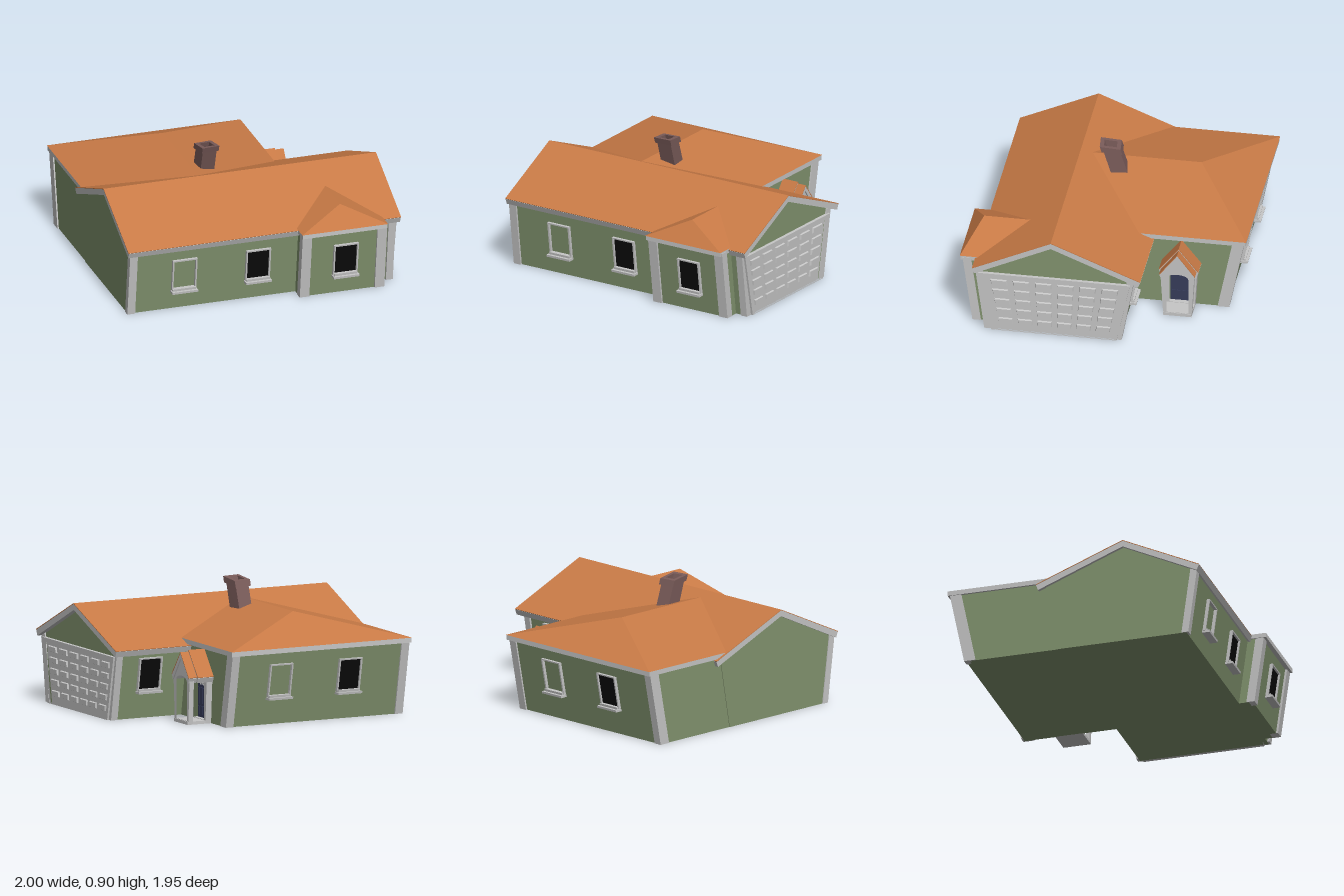
import * as THREE from 'three';

const paint = (name, color) => {
  const m = new THREE.MeshStandardMaterial({ color });
  m.name = name;
  return m;
};

export function createModel() {
  const house = new THREE.Group();
  house.name = 'house';
  const wall = paint('wall green', 0x82946f);
  const trim = paint('trim white', 0xc6c6c6);
  const tile = paint('roof orange', 0xc87a46);
  const brick = paint('chimney brown', 0x7a5c5a);
  const glass = paint('window black', 0x0a0a0a);
  const navy = paint('door navy', 0x363c5a);

  // Adds a flat-faced mesh; the optional rule moves its vertices first
  function add(name, geo, mat, rule, parent = house) {
    const g = geo.index ? geo.toNonIndexed() : geo;
    const p = g.attributes.position;
    const v = new THREE.Vector3();
    if (rule) {
      for (let i = 0; i < p.count; i++) {
        rule(v.fromBufferAttribute(p, i));
        p.setXYZ(i, v.x, v.y, v.z);
      }
    }
    g.computeVertexNormals();
    const mesh = new THREE.Mesh(g, mat);
    mesh.name = name;
    parent.add(mesh);
    return mesh;
  }
  function group(name) {
    const g = new THREE.Group();
    g.name = name;
    house.add(g);
    return g;
  }
  // Box given by its limits on each axis
  const block = (x0, x1, y0, y1, z0, z1) =>
    new THREE.BoxGeometry(x1 - x0, y1 - y0, z1 - z0)
      .translate((x0 + x1) / 2, (y0 + y1) / 2, (z0 + z1) / 2);
  const outline = (pts) => pts.map(([a, b]) => new THREE.Vector2(a, b));
  // Extrudes a [z, y] profile from x0 to x1
  function alongX(pts, x0, x1, hole) {
    const flip = (q) => outline(q.map(([z, y]) => [-z, y]));
    const s = new THREE.Shape(flip(pts));
    if (hole) s.holes.push(new THREE.Path(flip(hole)));
    return new THREE.ExtrudeGeometry(s, { depth: x1 - x0, bevelEnabled: false })
      .rotateY(Math.PI / 2).translate(x0, 0, 0);
  }
  // Gable roof band: front eave, ridge and back eave as [z, y]
  const chevron = ([a, b, c], t, drop, x0, x1) => alongX([
    [a[0], a[1] - drop], [b[0], b[1] - drop], [c[0], c[1] - drop],
    [c[0] + 0.4 * t, c[1] - drop - t], [b[0], b[1] - drop - t * 1.1],
    [a[0] - 0.4 * t, a[1] - drop - t]], x0, x1);
  // Hipped roof with one sloping end; the other end runs into another roof
  function hip(x0, x1, zEnd, zOpen, yEave, zPeak, zTie, yRidge) {
    const xm = (x0 + x1) / 2;
    const P = [[x0, yEave, zEnd], [x1, yEave, zEnd], [x1, yEave, zOpen], [x0, yEave, zOpen],
      [xm, yRidge, zPeak], [xm, yRidge, zTie]].map((q) => new THREE.Vector3(...q));
    const out = [];
    for (const f of [[0, 1, 4], [1, 2, 5], [1, 5, 4], [0, 4, 5], [0, 5, 3]]) {
      const [a, b, c] = f.map((i) => P[i]);
      const up = b.clone().sub(a).cross(c.clone().sub(a)).y > 0;
      out.push(...(up ? [a, b, c] : [a, c, b]));
    }
    return new THREE.BufferGeometry().setFromPoints(out);
  }

  // Outward-leaning walls
  add('mainWalls', alongX([[0.765, 0], [0.831, 0.49], [0.305, 0.725], [-0.263, 0.49], [-0.175, 0]], -0.975, 0.955), wall);
  add('wingWalls', alongX([[0.2, 0], [0.2, 0.53], [-0.951, 0.53], [-0.845, 0]], -0.97, 0.405), wall);
  add('bayWalls', alongX([[0.7, 0], [0.7, 0.5], [0.935, 0.5], [0.865, 0]], 0.255, 0.865), wall);

  // Corner boards follow the lean of their wall
  const leanBy = (k) => (v) => { v.z += k * v.y; };
  for (const [x0, x1, z0, z1, k, h] of [
    [-0.982, -0.925, 0.73, 0.78, 0.135, 0.49], [0.915, 0.966, 0.73, 0.78, 0.135, 0.49],
    [0.915, 0.966, -0.19, -0.14, -0.18, 0.49],
    [0.25, 0.32, 0.82, 0.88, 0.14, 0.5], [0.8, 0.87, 0.82, 0.88, 0.14, 0.5],
    [-0.98, -0.92, -0.857, -0.775, -0.2, 0.53], [0.355, 0.415, -0.857, -0.775, -0.2, 0.53],
  ]) add('cornerBoard', block(x0, x1, 0, h, z0, z1), trim, leanBy(k));

  // Roofs with white eaves
  const gable = [[0.862, 0.503], [0.305, 0.762], [-0.328, 0.508]];
  add('mainEaves', chevron(gable, 0.04, 0.004, -0.997, 0.997), trim);
  add('mainRoof', chevron(gable, 0.004, 0, -1, 1), tile);
  add('wingEaves', block(-0.986, 0.427, 0.515, 0.549, -0.975, -0.22), trim);
  add('wingRoof', hip(-0.99, 0.43, -0.98, -0.2, 0.55, -0.545, 0.25, 0.73), tile);
  add('bayEaves', block(0.244, 0.866, 0.48, 0.511, 0.72, 0.965), trim);
  add('bayRoof', hip(0.24, 0.87, 0.97, 0.82, 0.512, 0.85, 0.5, 0.66), tile);

  // Windows: s is +1 on front walls and -1 on back walls
  function windowUnit(x, y, z0, k, s, glazed) {
    const g = group('window');
    const place = (v) => {
      v.y += y;
      v.x = x + s * v.x;
      v.z = s * (v.z + z0 + k * v.y);
    };
    const rect = (w, a, b) => outline([[-w, a], [w, a], [w, b], [-w, b]]);
    const frame = new THREE.Shape(rect(0.09, 0.02, 0.255));
    frame.holes.push(new THREE.Path(rect(0.079, 0.03, 0.245)));
    add('windowFrame', new THREE.ExtrudeGeometry(frame, { depth: 0.022, bevelEnabled: false }), trim, place, g);
    add('windowSill', block(-0.094, 0.094, 0, 0.016, -0.01, 0.055), trim, place, g);
    add('windowLedge', block(-0.085, 0.085, 0.016, 0.032, -0.01, 0.035), trim, place, g);
    if (glazed) add('windowGlass', block(-0.08, 0.08, 0.03, 0.246, 0, 0.008), glass, place, g);
  }
  windowUnit(-0.575, 0.13, 0.765, 0.135, 1, false);
  windowUnit(-0.035, 0.13, 0.765, 0.135, 1, true);
  windowUnit(0.575, 0.13, 0.865, 0.14, 1, true);
  windowUnit(0.02, 0.18, 0.845, 0.2, -1, false);
  windowUnit(-0.525, 0.18, 0.845, 0.2, -1, true);
  windowUnit(0.69, 0.18, 0.175, 0.18, -1, true);

  // Garage door, wider towards the top
  const garage = group('garageDoor');
  const flare = (v) => { v.z = 0.285 + v.z * (1 + 0.466 * v.y); };
  const arch = (w, h) => [[-w, 0], [w, 0], [w, h], [-w, h]];
  const opening = (w, h) => [[-w, 0.004], [w, 0.004], [w, h], [-w, h]];
  add('garageOuterFrame', alongX(arch(0.442, 0.455), 0.95, 0.98, opening(0.425, 0.438)), trim, flare, garage);
  add('garageInnerFrame', alongX(arch(0.428, 0.44), 0.95, 0.971, opening(0.405, 0.418)), trim, flare, garage);
  add('garageLeaf', block(0.95, 0.961, 0, 0.42, -0.408, 0.408), trim, flare, garage);
  for (let r = 0; r < 5; r++) {
    for (let c = 0; c < 6; c++) {
      add('garagePanel', new THREE.BoxGeometry(0.02, 0.048, 0.104), trim, (v) => {
        if (v.x > 0) { v.y *= 0.68; v.z *= 0.86; }
        v.x += 0.963;
        v.y += 0.075 + r * 0.077;
        v.z += (c - 2.5) * 0.133;
        flare(v);
      }, garage);
    }
  }

  // Entrance porch on the wing
  const porch = group('porch');
  const toDoor = (v) => { v.z -= 0.52; };
  const arched = (w, y0, y1, rise) => {
    const pts = [[-w, y0], [w, y0]];
    for (let i = 0; i <= 8; i++) {
      const a = Math.PI * i / 8;
      pts.push([w * Math.cos(a), y1 + rise * Math.sin(a)]);
    }
    return pts;
  };
  const portal = (w) => [[-0.1, 0], [0.1, 0], [0.12, 0.33], [w, 0.33], [0, 0.495], [-w, 0.33], [-0.12, 0.33]];
  for (const [x0, x1, w] of [[0.4, 0.45, 0.125], [0.55, 0.585, 0.115]]) {
    add('porchPortal', alongX(portal(w), x0, x1, arched(0.078, 0.025, 0.3, 0.035)), trim, toDoor, porch);
  }
  add('porchStep', block(0.4, 0.59, 0, 0.022, -0.1, 0.1), trim, toDoor, porch);
  for (const [x0, x1, w, h] of [[0.38, 0.53, 0.14, 0.512], [0.53, 0.595, 0.127, 0.5]]) {
    const line = [[w, 0.335], [0, h], [-w, 0.335]];
    add('porchGable', chevron(line, 0.035, 0.005, x0, x1 - 0.001), trim, toDoor, porch);
    add('porchRoof', chevron(line, 0.006, 0, x0, x1), tile, toDoor, porch);
  }
  add('frontDoor', alongX(arched(0.078, 0.025, 0.3, 0.035), 0.4, 0.415), navy, toDoor, porch);
  for (let i = 0; i < 4; i++) {
    const z = (i - 1.5) * 0.036;
    add('doorPanel', block(0.41, 0.422, 0.12, 0.235, z - 0.012, z + 0.012), navy, toDoor, porch);
    add('doorPanel', block(0.41, 0.422, 0.045, 0.105, z - 0.012, z + 0.012), navy, toDoor, porch);
    add('doorGrille', block(0.41, 0.419, 0.255, 0.283, z * 0.65 - 0.004, z * 0.65 + 0.004), trim, toDoor, porch);
  }
  add('doorGrille', block(0.41, 0.419, 0.265, 0.272, -0.048, 0.048), trim, toDoor, porch);

  // Crooked open chimney
  function flue(name, w, d, y0, y1) {
    const rect = (a, b) => outline([[-a, -b], [a, -b], [a, b], [-a, b]]);
    const s = new THREE.Shape(rect(w, d));
    s.holes.push(new THREE.Path(rect(0.038, 0.045)));
    const g = new THREE.ExtrudeGeometry(s, { depth: y1 - y0, bevelEnabled: false })
      .rotateX(-Math.PI / 2).rotateY(0.1);
    add(name, g, brick, (v) => {
      const z = v.z;
      v.y += y0;
      v.z += 0.015 + 0.32 * (v.y - 0.69);
      if (v.y > 0.75) v.y += 0.12 * z;
      v.x -= 0.167;
    });
  }
  flue('chimneyStack', 0.053, 0.06, 0.63, 0.85);
  flue('chimneyCap', 0.064, 0.073, 0.845, 0.888);

  return house;
}
